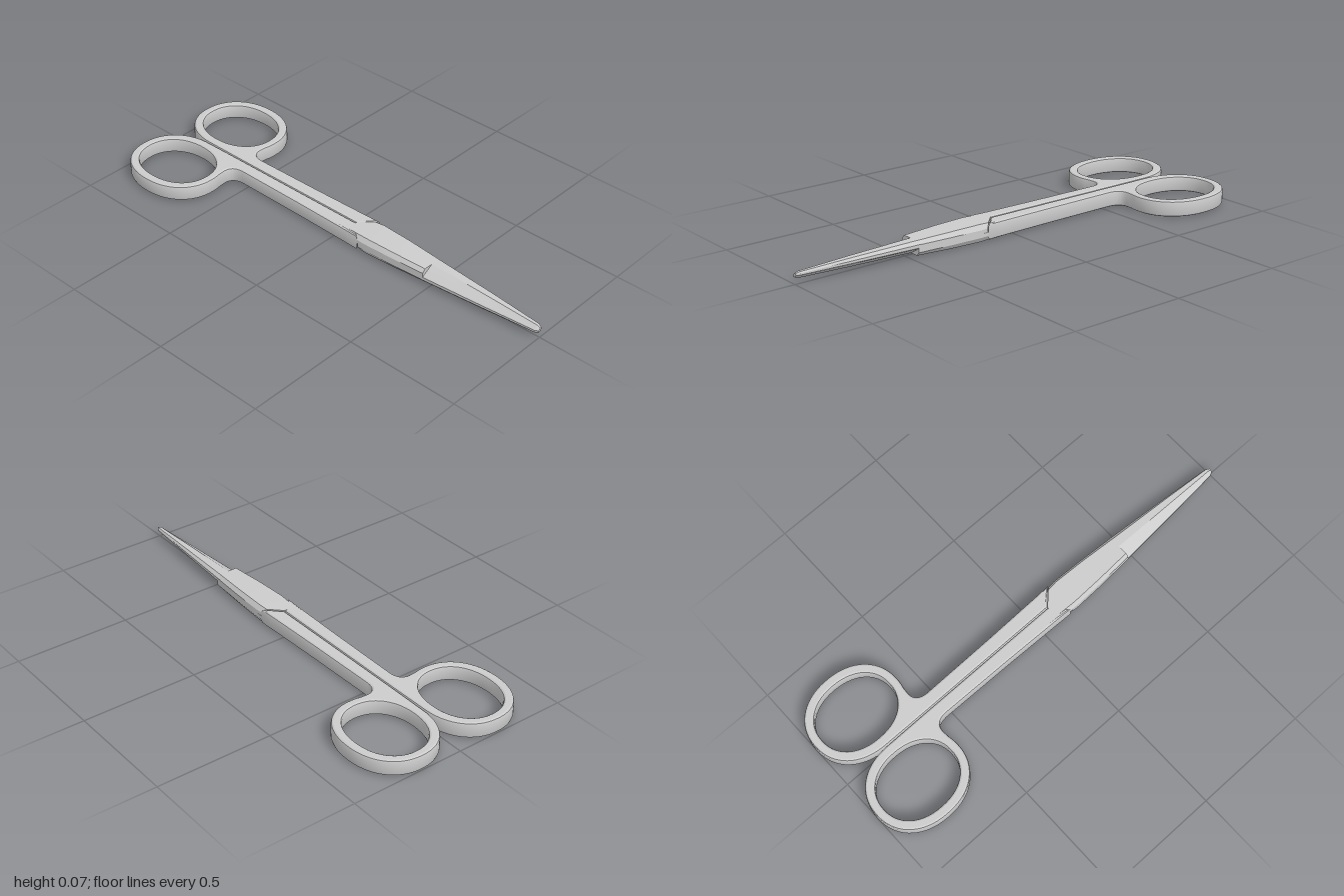
import * as THREE from 'three';
import { toCreasedNormals } from 'three/addons/utils/BufferGeometryUtils.js';

const MID = 0.04; // height of the plane where the two halves meet
const material = new THREE.MeshStandardMaterial({ color: 0xcccccc });

function part(name, geometry) {
  const mesh = new THREE.Mesh(geometry, material);
  mesh.name = name;
  return mesh;
}

// Slightly squared oval, sampled clockwise from angle a0 to a1
function oval(cx, cy, rx, ry, a0, a1, n) {
  const pts = [];
  const soft = (v) => Math.sign(v) * Math.abs(v) ** 0.92;
  for (let i = 0; i <= n; i++) {
    const a = a0 + ((a1 - a0) * i) / n;
    pts.push(new THREE.Vector2(cx + rx * soft(Math.cos(a)), cy + ry * soft(Math.sin(a))));
  }
  return pts;
}

// Skin convex cross-sections (counter-clockwise seen from +z) and cap both ends
function loft(rings) {
  const pos = [];
  const tri = (...p) => p.forEach((v) => pos.push(...v));
  const n = rings[0].length;
  for (let r = 0; r < rings.length - 1; r++) {
    const a = rings[r], b = rings[r + 1];
    for (let i = 0; i < n; i++) {
      const j = (i + 1) % n;
      tri(a[i], a[j], b[j]);
      tri(a[i], b[j], b[i]);
    }
  }
  const first = rings[0], last = rings[rings.length - 1];
  for (let i = 1; i < n - 1; i++) {
    tri(first[0], first[i + 1], first[i]);
    tri(last[0], last[i], last[i + 1]);
  }
  const g = new THREE.BufferGeometry();
  g.setAttribute('position', new THREE.Float32BufferAttribute(pos, 3));
  g.computeVertexNormals();
  return toCreasedNormals(g, 0.25);
}

// Shank and finger ring as one bevelled outline (shape y is -z)
function handleGeometry() {
  const shape = new THREE.Shape();
  shape.moveTo(0.003, -0.07);
  shape.lineTo(0.003, 0.6);
  oval(0.186, 0.79, 0.182, 0.21, Math.PI, -Math.PI * 0.58, 56).forEach((p) => shape.lineTo(p.x, p.y));
  shape.lineTo(0.105, 0.588);
  shape.quadraticCurveTo(0.058, 0.588, 0.056, 0.53);
  shape.lineTo(0.06, 0.2);
  shape.lineTo(0.066, -0.07);
  shape.lineTo(0.068, -0.133);
  const hole = oval(0.187, 0.79, 0.144, 0.176, 0, Math.PI * 2, 56);
  hole.pop();
  shape.holes.push(new THREE.Path(hole));
  const bevel = 0.012, height = 0.068;
  const g = new THREE.ExtrudeGeometry(shape, {
    depth: height - 2 * bevel,
    bevelThickness: bevel,
    bevelSize: 0.009,
    bevelOffset: -0.009 + 0.002,
    bevelSegments: 2,
    curveSegments: 8,
  });
  g.rotateX(-Math.PI / 2);
  g.translate(0, MID - height / 2 + bevel, 0);
  return toCreasedNormals(g, 0.45);
}

// Lower half of the lap joint, with a slanted rear shoulder
function jointGeometry() {
  const stations = [[0.07, 0.066, 0.006], [0.17, 0.07, 0.003], [0.31, 0.065, 0.005], [0.47, 0.055, 0.009]];
  return loft(stations.map(([z, w, low], k) => {
    const c = 0.013;
    const outline = [[0, MID], [-w, MID], [-w, 0.024], [c - w, low], [0, low], [w - c, low], [w, 0.024], [w, MID]];
    return outline.map(([x, y]) => [x, y, k === 0 ? z + Math.max(0, -x) : z]);
  }));
}

// Tapered blade: sloping top face, chamfered outer edge, flat inner face
function bladeGeometry() {
  const stations = [[0.43, 0.056, 0.031], [0.47, 0.055, 0.031], [0.75, 0.035, 0.023], [0.985, 0.016, 0.014], [1, 0.009, 0.008]];
  return loft(stations.map(([z, w, h]) => [
    [0, MID + h, z],
    [-0.85 * w, MID + 0.12 * h, z],
    [-w, MID - 0.1 * h, z],
    [-w, MID - 0.55 * h, z],
    [-0.76 * w, MID - h, z],
    [0, MID - h, z],
  ]));
}

export function createModel() {
  const model = new THREE.Group();
  model.name = 'scissors';
  const handle = handleGeometry(), joint = jointGeometry(), blade = bladeGeometry();
  // The halves are identical, one turned over about the long axis
  ['lowerHalf', 'upperHalf'].forEach((name, i) => {
    const half = new THREE.Group();
    half.name = name;
    half.add(part('handle', handle), part('lapJoint', joint), part('blade', blade));
    if (i === 1) {
      half.rotation.z = Math.PI;
      half.position.y = 2 * MID;
    }
    model.add(half);
  });
  return model;
}
